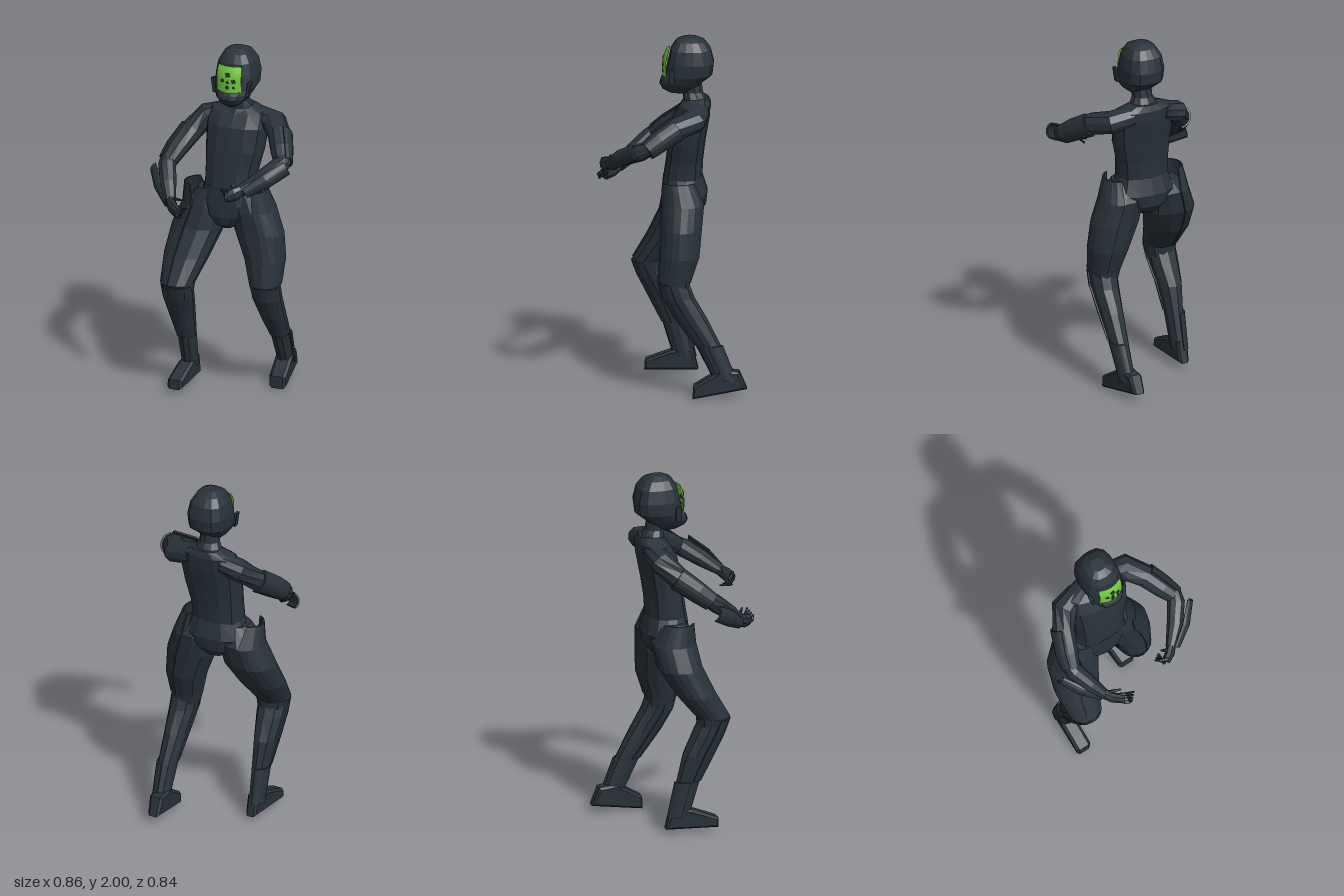
import * as THREE from 'three';

const suit = new THREE.MeshStandardMaterial({ color: 0x28323a, flatShading: true, side: THREE.DoubleSide });
suit.name = 'darkSlate';
const glow = new THREE.MeshStandardMaterial({ color: 0x74cb3e, side: THREE.DoubleSide });
glow.name = 'visorGreen';

// Closed unit outlines: rounded ring (p > 2 is squarer) and thin curved shell
function ring(n = 12, p = 2) {
  return Array.from({ length: n }, (_, i) => {
    const t = ((i + 0.5) / n) * Math.PI * 2, c = Math.cos(t), s = Math.sin(t);
    const k = Math.pow(Math.abs(c) ** p + Math.abs(s) ** p, -1 / p);
    return [c * k, s * k];
  });
}
function arc(from, to, outer = 1.08, inner = 0.97, n = 8) {
  const pts = [];
  for (const r of [outer, inner]) {
    for (let i = 0; i <= n; i++) {
      const f = r === outer ? i / n : 1 - i / n;
      const t = THREE.MathUtils.degToRad(from + (to - from) * f);
      pts.push([Math.cos(t) * r, Math.sin(t) * r]);
    }
  }
  return pts;
}

// Skin sections [x, y, z, a, b]; rings lie flat (listed top down) or across the path
function loft(name, sections, outline, across, parent) {
  const pos = [], idx = [], n = outline.length, m = sections.length;
  const at = sections.map(s => new THREE.Vector3(s[0], s[1], s[2]));
  sections.forEach((s, i) => {
    const t = new THREE.Vector3(0, -1, 0), u = new THREE.Vector3(1, 0, 0);
    if (across) {
      t.subVectors(at[Math.min(i + 1, m - 1)], at[Math.max(i - 1, 0)]).normalize();
      u.crossVectors(t, new THREE.Vector3(0, 1, 0)).normalize();
    }
    const v = new THREE.Vector3().crossVectors(t, u);
    for (const [c, d] of outline) {
      const q = at[i].clone().addScaledVector(u, c * s[3]).addScaledVector(v, d * s[4]);
      pos.push(q.x, q.y, q.z);
    }
  });
  for (let i = 0; i < m - 1; i++) for (let j = 0; j < n; j++) {
    const a = i * n + j, b = i * n + (j + 1) % n;
    idx.push(a, b, a + n, b, b + n, a + n);
  }
  const cap = THREE.ShapeUtils.triangulateShape(outline.map(p => new THREE.Vector2(p[0], p[1])), []);
  for (const [a, b, c] of cap) {
    const e = (m - 1) * n;
    idx.push(a, c, b, e + a, e + b, e + c);
  }
  let g = new THREE.BufferGeometry();
  g.setAttribute('position', new THREE.Float32BufferAttribute(pos, 3));
  g.setIndex(idx);
  g = g.toNonIndexed();
  g.computeVertexNormals();
  const mesh = new THREE.Mesh(g, suit);
  mesh.name = name;
  parent.add(mesh);
}

// Section from extents: height, x range, z range
const ext = (y, x0, x1, z0, z1) => [(x0 + x1) / 2, y, (z0 + z1) / 2, (x1 - x0) / 2, (z1 - z0) / 2];

// Foot from a side profile [z, y], running from heelX to toeX and narrower at the heel
function foot(name, profile, heelX, toeX, width, parent) {
  const shape = new THREE.Shape(profile.map(p => new THREE.Vector2(p[0], p[1])));
  const g = new THREE.ExtrudeGeometry(shape, {
    depth: width - 0.03, bevelEnabled: true, bevelThickness: 0.015, bevelSize: 0.012, bevelOffset: -0.012, bevelSegments: 1,
  });
  g.translate(0, 0, -(width - 0.03) / 2).rotateY(-Math.PI / 2);
  g.computeBoundingBox();
  const { min, max } = g.boundingBox, p = g.attributes.position;
  for (let i = 0; i < p.count; i++) {
    const f = (p.getZ(i) - min.z) / (max.z - min.z);
    p.setX(i, p.getX(i) * (0.65 + 0.35 * Math.min(1, f * 2.5)) + heelX + (toeX - heelX) * f);
  }
  g.computeVertexNormals();
  const mesh = new THREE.Mesh(g, suit);
  mesh.name = name;
  parent.add(mesh);
}

function makeHead(parent) {
  const head = new THREE.Group();
  head.name = 'head';
  parent.add(head);
  loft('helmet', [
    ext(2.0, -0.04, 0.032, -0.135, -0.06), ext(1.98, -0.076, 0.07, -0.178, -0.02), ext(1.935, -0.102, 0.097, -0.212, 0.008),
    ext(1.86, -0.115, 0.11, -0.23, 0.024), ext(1.79, -0.112, 0.107, -0.222, 0.042), ext(1.765, -0.1, 0.095, -0.19, 0.062),
    ext(1.74, -0.088, 0.083, -0.16, 0.07), ext(1.71, -0.066, 0.061, -0.125, 0.055), ext(1.683, -0.03, 0.025, -0.09, 0.012),
  ], ring(16, 3), false, head);

  // Bowed visor plate with dark spots
  const bow = (x, y) => 0.05 - 4.2 * x * x - 3.2 * Math.max(0, y - 1.85) ** 2;
  const visor = new THREE.PlaneGeometry(0.145, 0.163, 8, 10);
  const p = visor.attributes.position;
  for (let i = 0; i < p.count; i++) {
    const y = p.getY(i), x = p.getX(i) * (1 - 0.1 * Math.pow(Math.abs(y) / 0.0815, 8));
    p.setXYZ(i, x - 0.003, y + 1.848, bow(x, y + 1.848) + 0.002);
  }
  visor.computeVertexNormals();
  const face = new THREE.Mesh(visor, glow);
  face.name = 'visor';
  head.add(face);
  const spots = [[-0.004, 1.883, 0.024], [-0.036, 1.847, 0.018], [0.03, 1.848, 0.02], [-0.005, 1.841, 0.014],
    [-0.006, 1.81, 0.018], [0.03, 1.812, 0.011]];
  for (const [x, y, s] of spots) {
    const spot = new THREE.Mesh(new THREE.BoxGeometry(s, s, 0.007), suit);
    spot.name = 'visorSpot';
    spot.position.set(x, y, bow(x, y) + 0.002);
    spot.rotation.set(-6.4 * Math.max(0, y - 1.85), Math.atan(8.4 * x), 0.3);
    head.add(spot);
  }
  // Cheek tabs of the helmet
  for (const s of [-1, 1]) {
    const tab = new THREE.Mesh(new THREE.BoxGeometry(0.016, 0.085, 0.03), suit);
    tab.name = 'cheekTab';
    tab.rotation.z = -s * 0.15;
    tab.position.set(s * 0.104 - 0.003, 1.795, -0.005);
    head.add(tab);
  }
}

function makeHand(name, palm, fingers, parent) {
  const hand = new THREE.Group();
  hand.name = name;
  parent.add(hand);
  loft('palm', palm, ring(8, 2.6), true, hand);
  fingers.forEach(f => loft('finger', f.map((q, i) => [...q, [0.011, 0.009, 0.005][i], [0.011, 0.009, 0.005][i]]), ring(6), true, hand));
}

export function createModel() {
  const model = new THREE.Group();
  model.name = 'figure';
  makeHead(model);

  // Trunk
  loft('neck', [ext(1.76, -0.06, 0.055, -0.16, -0.03), ext(1.69, -0.06, 0.055, -0.17, -0.058),
    ext(1.645, -0.085, 0.08, -0.195, -0.06), ext(1.59, -0.13, 0.12, -0.2, -0.03)], ring(10), false, model);
  loft('torso', [
    ext(1.657, -0.085, 0.08, -0.2, -0.085), ext(1.622, -0.17, 0.165, -0.212, -0.05), ext(1.55, -0.185, 0.17, -0.208, -0.005),
    ext(1.42, -0.18, 0.155, -0.185, 0.02), ext(1.3, -0.175, 0.125, -0.17, 0.035), ext(1.2, -0.175, 0.115, -0.165, 0.05),
  ], ring(14, 2.7), false, model);
  loft('pelvis', [
    ext(1.205, -0.175, 0.115, -0.166, 0.051), ext(1.11, -0.215, 0.15, -0.193, 0.06), ext(1.04, -0.17, 0.1, -0.185, 0.063),
    ext(0.99, -0.11, 0.04, -0.145, 0.05), ext(0.965, -0.075, 0.005, -0.08, 0.02),
  ], ring(14, 2.6), false, model);

  // Legs: thigh and calf with curved outer guards
  const legs = [
    { side: 'right', out: 180,
      thigh: [ext(1.18, -0.21, -0.08, -0.12, 0.03), ext(1.08, -0.3, -0.05, -0.178, 0.06), ext(0.95, -0.35, -0.065, -0.155, 0.085),
        ext(0.8, -0.365, -0.115, -0.06, 0.155), ext(0.66, -0.35, -0.165, 0.055, 0.235), ext(0.57, -0.335, -0.18, 0.06, 0.21)],
      guard: [ext(1.2, -0.285, -0.13, -0.11, 0.045)],
      calf: [ext(0.65, -0.345, -0.175, 0.07, 0.235), ext(0.57, -0.345, -0.18, 0.03, 0.205), ext(0.45, -0.335, -0.2, -0.03, 0.145),
        ext(0.3, -0.315, -0.215, -0.065, 0.07), ext(0.1, -0.31, -0.225, -0.11, 0.01)] },
    { side: 'left', out: 0,
      thigh: [ext(1.18, 0.0, 0.14, -0.12, 0.03), ext(1.08, -0.02, 0.225, -0.182, 0.05), ext(0.95, 0.0, 0.27, -0.172, 0.05),
        ext(0.8, 0.06, 0.285, -0.16, 0.055), ext(0.66, 0.1, 0.275, -0.115, 0.065), ext(0.57, 0.12, 0.27, -0.1, 0.04)],
      guard: [ext(1.2, 0.03, 0.185, -0.13, 0.045)],
      calf: [ext(0.65, 0.115, 0.275, -0.105, 0.06), ext(0.57, 0.12, 0.275, -0.135, 0.04), ext(0.45, 0.135, 0.265, -0.205, -0.03),
        ext(0.3, 0.15, 0.255, -0.28, -0.14), ext(0.1, 0.155, 0.24, -0.36, -0.24)] },
  ];
  for (const { side, out, thigh, guard, calf } of legs) {
    const leg = new THREE.Group();
    leg.name = side + 'Leg';
    model.add(leg);
    loft('thigh', thigh, ring(12, 2.3), false, leg);
    loft('thighGuard', [...guard, ...thigh.slice(1, 5)], arc(out - 72, out + 72), false, leg);
    loft('calf', calf, ring(10, 2.2), false, leg);
    loft('shinGuard', calf.slice(0, 4), arc(10, 170, 1.1), false, leg);
    loft('ankleGuard', calf.slice(3), arc(out ? 180 : 270, out ? 270 : 360, 1.16), false, leg);
  }
  foot('rightFoot', [[0.168, 0.025], [0.165, 0.08], [0.09, 0.11], [0.01, 0.14], [-0.1, 0.15], [-0.128, 0.03]], -0.265, -0.272, 0.088, model);
  foot('leftFoot', [[-0.128, 0], [-0.13, 0.07], [-0.22, 0.125], [-0.28, 0.16], [-0.38, 0.15], [-0.423, 0.05]], 0.182, 0.215, 0.098, model);

  // Arms: sleeve follows shoulder, elbow and wrist
  const arms = [
    { side: 'right', out: 0,
      upper: [[-0.1, 1.59, -0.15, 0.06, 0.055], [-0.2, 1.558, -0.13, 0.075, 0.06], [-0.262, 1.482, -0.055, 0.062, 0.06],
        [-0.306, 1.405, 0.05, 0.058, 0.056], [-0.328, 1.35, 0.12, 0.048, 0.048]],
      fore: [[-0.34, 1.375, 0.09, 0.04, 0.042], [-0.325, 1.335, 0.14, 0.05, 0.05], [-0.28, 1.262, 0.23, 0.046, 0.044], [-0.235, 1.195, 0.305, 0.03, 0.028]],
      plate: [[-0.395, 1.3, 0.12, 0.034, 0.042], [-0.32, 1.243, 0.21, 0.045, 0.045], [-0.24, 1.182, 0.295, 0.032, 0.032]] },
    { side: 'left', out: 180,
      upper: [[0.08, 1.595, -0.15, 0.06, 0.055], [0.2, 1.572, -0.13, 0.075, 0.06], [0.27, 1.545, -0.035, 0.063, 0.06],
        [0.32, 1.492, 0.055, 0.058, 0.056], [0.358, 1.445, 0.12, 0.048, 0.048]],
      fore: [[0.37, 1.465, 0.1, 0.035, 0.042], [0.348, 1.435, 0.15, 0.05, 0.05], [0.28, 1.385, 0.24, 0.046, 0.044], [0.195, 1.335, 0.325, 0.03, 0.028]],
      plate: [[0.4, 1.45, 0.175, 0.034, 0.042], [0.31, 1.39, 0.255, 0.045, 0.045], [0.215, 1.325, 0.325, 0.032, 0.032]] },
  ];
  for (const { side, out, upper, fore, plate } of arms) {
    const arm = new THREE.Group();
    arm.name = side + 'Arm';
    model.add(arm);
    loft('upperArm', upper, ring(10, 2.3), true, arm);
    loft('upperArmGuard', upper.slice(2), arc(out - 75, out + 75, 1.18, 1.0), true, arm);
    loft('forearm', fore, ring(10, 2.3), true, arm);
    loft('forearmGuard', plate, arc(out - 70, out + 70, 1.12, 0.88), true, arm);
  }

  // Hands: four fingers fanned out, plus a thumb
  const rightFingers = [0, 1, 2, 3].map(i => [
    [-0.18 + i * 0.006, 1.185 - i * 0.01, 0.345 + i * 0.016], [-0.135, 1.18 - i * 0.01, 0.365 + i * 0.014], [-0.095 - i * 0.01, 1.208 - i * 0.01, 0.39 + i * 0.009]]);
  rightFingers.push([[-0.22, 1.205, 0.31], [-0.19, 1.222, 0.325], [-0.15, 1.23, 0.345]]);
  makeHand('rightHand', [[-0.245, 1.205, 0.29, 0.026, 0.028], [-0.205, 1.175, 0.34, 0.026, 0.038], [-0.155, 1.162, 0.38, 0.022, 0.032]], rightFingers, model);
  const leftFingers = [0, 1, 2, 3].map(i => [
    [0.145 - i * 0.008, 1.335 - i * 0.018, 0.375 - i * 0.003], [0.1 + i * 0.008, 1.328 - i * 0.018, 0.355], [0.08 + i * 0.016, 1.318 - i * 0.015, 0.335 - i * 0.012]]);
  leftFingers.push([[0.18, 1.34, 0.33], [0.15, 1.355, 0.33], [0.135, 1.345, 0.315]]);
  makeHand('leftHand', [[0.205, 1.34, 0.315, 0.026, 0.028], [0.17, 1.318, 0.35, 0.026, 0.038], [0.13, 1.302, 0.37, 0.022, 0.034]], leftFingers, model);

  return model;
}
